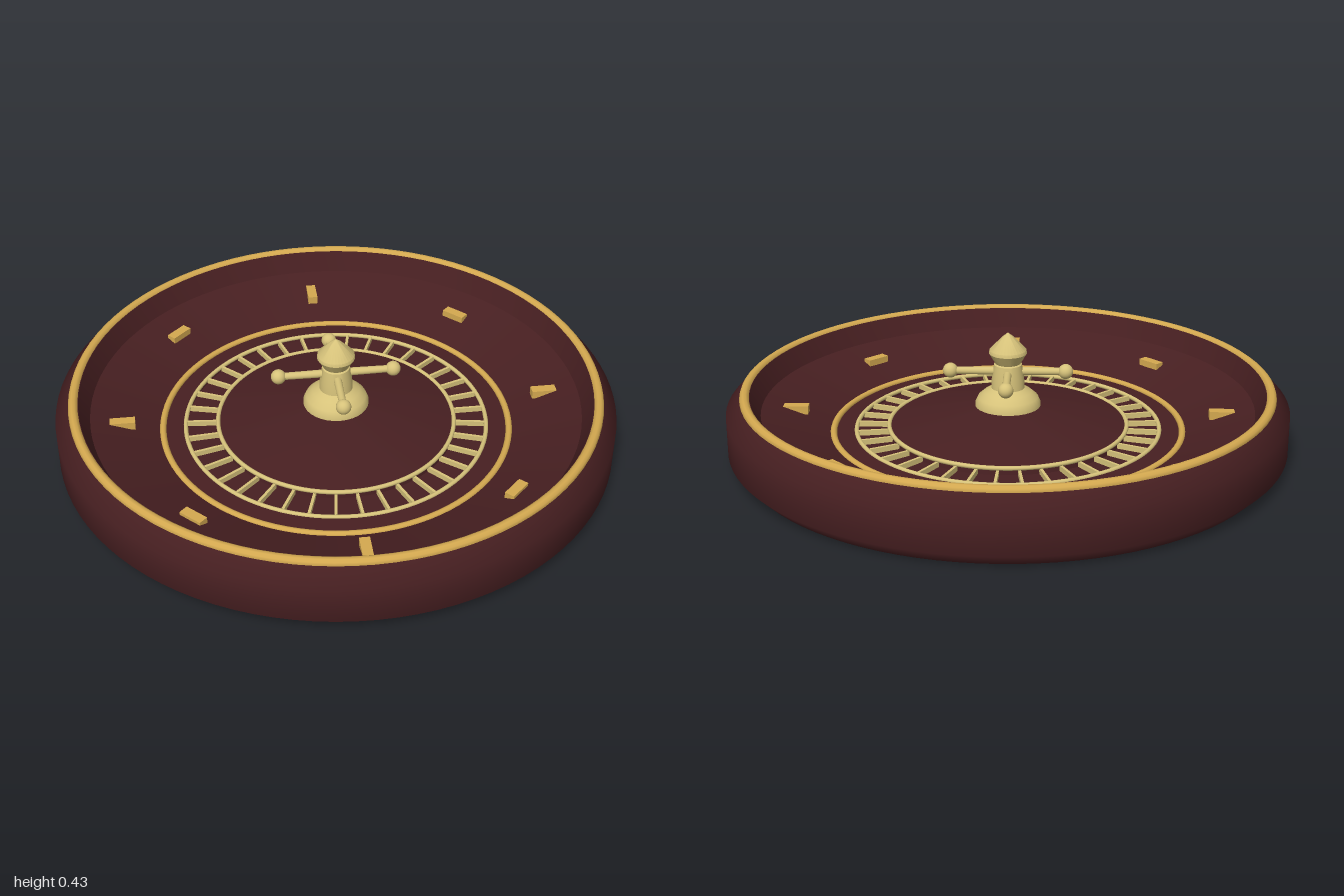
import * as THREE from 'three';
import { toCreasedNormals } from 'three/addons/utils/BufferGeometryUtils.js';

export function createModel() {
  const model = new THREE.Group();
  model.name = 'rouletteWheel';

  const material = (name, color) => {
    const m = new THREE.MeshStandardMaterial({ color });
    m.name = name;
    return m;
  };
  const wood = material('mahogany', 0x471f21);
  const gold = material('gold', 0xd4a950);
  const brass = material('brass', 0xd6c27a);

  const add = (name, geometry, mat, parent = model) => {
    const mesh = new THREE.Mesh(geometry, mat);
    mesh.name = name;
    parent.add(mesh);
    return mesh;
  };
  const lathe = (points, segments = 96) =>
    new THREE.LatheGeometry(points.map(([r, y]) => new THREE.Vector2(r, y)), segments);
  const ring = (name, radius, tube, y, mat) => {
    const mesh = add(name, new THREE.TorusGeometry(radius, tube, 10, 96), mat);
    mesh.rotation.x = Math.PI / 2;
    mesh.position.y = y;
  };

  // Outer bowl: chamfered wall, flat underside, steep inner lip and sloping ball track
  add('bowlWall', lathe([[0.955, 0], [1, 0.045], [1, 0.18], [0.945, 0.24]]), wood);
  add('bowlBase', lathe([[0, 0], [0.955, 0]]), wood);
  add('ballTrack', toCreasedNormals(lathe([
    [0.945, 0.24], [0.915, 0.24], [0.88, 0.168], [0.63, 0.076],
  ]), 0.4), wood);
  ring('goldRim', 0.933, 0.018, 0.234, gold);
  ring('trackRing', 0.627, 0.012, 0.077, gold);

  // Rotor: sunken pocket channel and raised central cone
  add('rotor', toCreasedNormals(lathe([
    [0.63, 0.076], [0.545, 0.08], [0.54, 0.066], [0.43, 0.066],
    [0.425, 0.09], [0.11, 0.16], [0, 0.165],
  ]), 0.4), wood);
  ring('outerPocketRing', 0.545, 0.008, 0.08, brass);
  ring('innerPocketRing', 0.428, 0.008, 0.09, brass);

  // Pocket dividers
  const pockets = new THREE.Group();
  pockets.name = 'pocketDividers';
  model.add(pockets);
  const dividerGeometry = new THREE.BoxGeometry(0.115, 0.022, 0.01);
  for (let i = 0; i < 37; i++) {
    const a = (i / 37) * Math.PI * 2;
    const divider = add('pocketDivider', dividerGeometry, brass, pockets);
    divider.position.set(Math.cos(a) * 0.486, 0.074, Math.sin(a) * 0.486);
    divider.rotation.y = -a;
  }

  // Ball deflectors: radial on the axes, crosswise on the diagonals
  const deflectorGeometry = new THREE.BoxGeometry(0.09, 0.03, 0.036);
  for (let i = 0; i < 8; i++) {
    const a = (i * Math.PI) / 4;
    const deflector = add('deflector', deflectorGeometry, gold);
    deflector.position.set(Math.cos(a) * 0.768, 0.13, Math.sin(a) * 0.768);
    deflector.rotation.y = a;
  }

  // Central turret with flared base, column and pointed cap
  add('turret', toCreasedNormals(lathe([
    [0.118, 0.15], [0.118, 0.168], [0.108, 0.19], [0.085, 0.21],
    [0.06, 0.225], [0.058, 0.26], [0.05, 0.312], [0.045, 0.316],
    [0.068, 0.354], [0.066, 0.366], [0.02, 0.414], [0, 0.43],
  ], 32), 0.6), brass);

  // Four spokes with ball ends
  const spokeGeometry = new THREE.CylinderGeometry(0.015, 0.013, 0.2, 16);
  const knobGeometry = new THREE.SphereGeometry(0.027, 20, 14);
  for (let i = 0; i < 4; i++) {
    const handle = new THREE.Group();
    handle.name = 'handle';
    handle.position.y = 0.286;
    handle.rotation.y = (i * Math.PI) / 2;
    model.add(handle);
    const spoke = add('spoke', spokeGeometry, brass, handle);
    spoke.rotation.z = Math.PI / 2;
    spoke.position.x = 0.1;
    add('knob', knobGeometry, brass, handle).position.x = 0.206;
  }

  return model;
}
